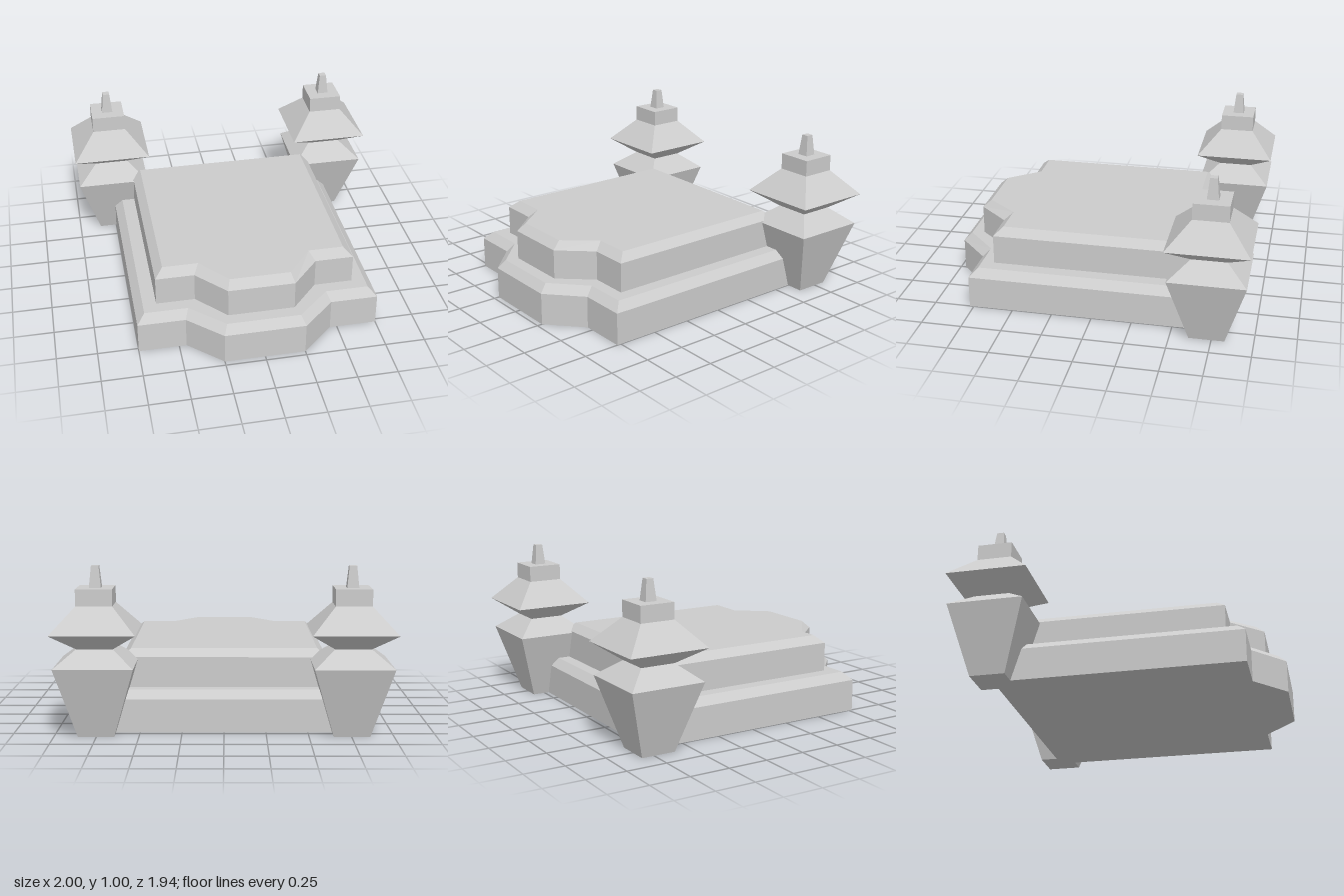
import * as THREE from 'three';

const material = new THREE.MeshStandardMaterial({ color: 0xcccccc, flatShading: true });

// Closed solid through stacked outlines; each level is { y, ring: [[x, z], ...] },
// with rings running counter-clockwise as seen from above.
function loft(name, levels) {
  const pos = [];
  const put = (level, i) => {
    const [x, z] = level.ring[i];
    pos.push(x, level.y, z);
  };
  const n = levels[0].ring.length;
  for (let k = 0; k < levels.length - 1; k++) {
    const lo = levels[k], hi = levels[k + 1];
    for (let i = 0; i < n; i++) {
      const j = (i + 1) % n;
      put(lo, i); put(lo, j); put(hi, j);
      put(lo, i); put(hi, j); put(hi, i);
    }
  }
  const cap = (level, up) => {
    const flat = level.ring.map(([x, z]) => new THREE.Vector2(x, -z));
    for (const [a, b, c] of THREE.ShapeUtils.triangulateShape(flat, [])) {
      for (const i of up ? [a, b, c] : [a, c, b]) put(level, i);
    }
  };
  cap(levels[0], false);
  cap(levels[levels.length - 1], true);
  const geometry = new THREE.BufferGeometry();
  geometry.setAttribute('position', new THREE.Float32BufferAttribute(pos, 3));
  geometry.computeVertexNormals();
  const mesh = new THREE.Mesh(geometry, material);
  mesh.name = name;
  return mesh;
}

// Rectangle with a splayed bay projecting from the front
function bayOutline(halfWidth, back, front, bayRoot, bayTip, bayFront) {
  const right = [[bayTip, bayFront], [bayRoot, front], [halfWidth, front], [halfWidth, back]];
  const left = right.map(([x, z]) => [-x, z]).reverse();
  return [...right, ...left];
}

const square = (h) => [[-h, h], [h, h], [h, -h], [-h, -h]];
const squareLoft = (name, profile) =>
  loft(name, profile.map(([h, y]) => ({ y, ring: square(h) })));

// Corner tower: profiles are [half width, height]
function createTower(name, x, z) {
  const tower = new THREE.Group();
  tower.name = name;
  tower.add(
    squareLoft('towerBody', [[0.107, 0], [0.232, 0.423], [0.107, 0.522]]),
    squareLoft('towerRoof', [[0.107, 0.522], [0.248, 0.62], [0.107, 0.772]]),
    squareLoft('towerCap', [[0.107, 0.772], [0.107, 0.872]]),
    squareLoft('towerSpire', [[0.035, 0.872], [0.022, 1]])
  );
  tower.position.set(x, 0, z);
  return tower;
}

export function createModel() {
  const model = new THREE.Group();
  model.name = 'terracedPlatform';

  // Two stepped tiers with bevelled top edges
  const lower = bayOutline(0.75, -0.72, 0.775, 0.455, 0.25, 0.967);
  const lowerTop = bayOutline(0.7, -0.672, 0.725, 0.432, 0.227, 0.918);
  const upper = bayOutline(0.617, -0.594, 0.647, 0.378, 0.205, 0.84);
  const upperTop = bayOutline(0.565, -0.54, 0.593, 0.345, 0.187, 0.787);
  model.add(
    loft('lowerTier', [{ y: 0, ring: lower }, { y: 0.2, ring: lower }, { y: 0.25, ring: lowerTop }]),
    loft('upperTier', [{ y: 0.25, ring: upper }, { y: 0.433, ring: upper }, { y: 0.48, ring: upperTop }])
  );

  // Towers on the two back corners
  model.add(createTower('leftTower', 0.752, -0.721), createTower('rightTower', -0.752, -0.721));
  return model;
}
